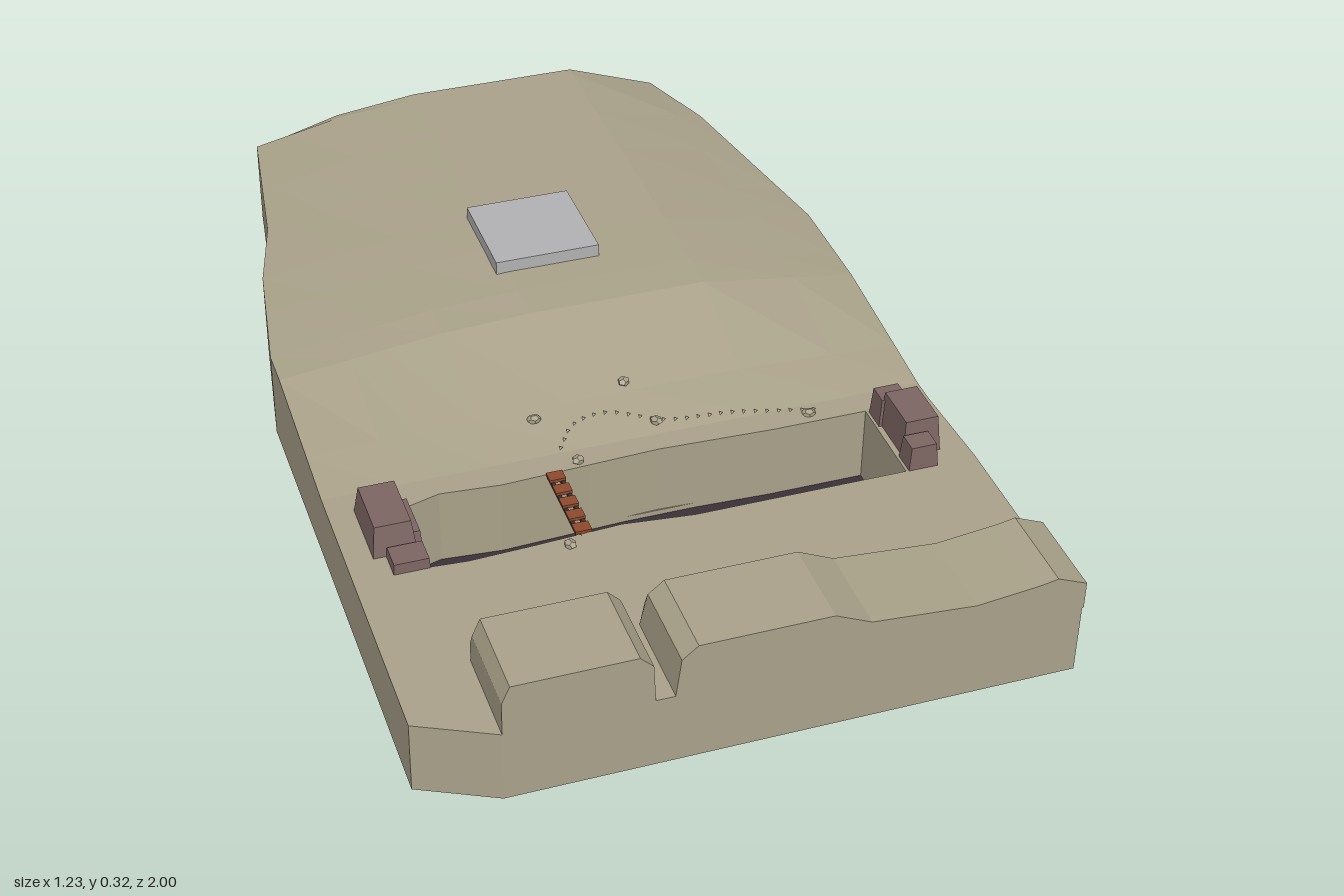
import * as THREE from 'three';

const mat = (color) => new THREE.MeshStandardMaterial({ color, flatShading: true });
const EARTH = mat(0xaaa28a), DARK = mat(0x3b3038), BLOCK = mat(0x7c6663), RUST = mat(0x8f4a2e), PLATE = mat(0xb2b2b4);

function add(parent, name, geometry, material, x = 0, y = 0, z = 0) {
  const m = new THREE.Mesh(geometry, material);
  m.name = name;
  m.position.set(x, y, z);
  parent.add(m);
  return m;
}

// piecewise linear lookup in [key, value] pairs
function lookup(table, k) {
  for (let i = 1; i < table.length; i++) {
    const [a, va] = table[i - 1], [b, vb] = table[i];
    if (k <= b) return va + (vb - va) * Math.max(0, (k - a) / (b - a));
  }
  return table[table.length - 1][1];
}

const LEFT = [[-1, -0.28], [-0.94, -0.47], [-0.6, -0.52], [-0.42, -0.57], [-0.14, -0.615], [0.93, -0.615], [1, -0.47]];
const RIGHT = [[-1, 0.27], [-0.94, 0.46], [-0.76, 0.52], [-0.3, 0.6], [0.45, 0.6], [0.54, 0.61], [1, 0.61]];
const CREST = [[-1, 0.235], [-0.96, 0.293], [-0.2, 0.293], [-0.06, 0.285], [0.17, 0.225], [0.29, 0.2], [1, 0.2]];
const EDGE = [[-1, 0.235], [-0.05, 0.235], [0.29, 0.2], [1, 0.2]];

// ground height: a broad crest that falls away to both sides
function height(x, z) {
  const l = lookup(LEFT, z), r = lookup(RIGHT, z);
  let t = 0;
  if (x < -0.2) t = (x + 0.2) / (l + 0.2);
  if (x > 0.27) t = (x - 0.27) / Math.max(r - 0.27, 1e-4);
  return THREE.MathUtils.lerp(lookup(CREST, z), lookup(EDGE, z), Math.min(t, 1));
}

function groundGeometry() {
  const cols = [-0.47, -0.4, -0.28, -0.1, 0.04, 0.27, 0.465];
  const rows = [-1, -0.96, -0.94, -0.76, -0.6, -0.42, -0.3, -0.14, -0.06, 0.17, 0.29, 0.345, 0.54, 0.8, 0.93, 1];
  const north = [0.36, 0.34, 0.35, 0.342, 0.336, 0.345, 0.345];
  const south = [0.54, 0.545, 0.54, 0.53, 0.545, 0.545, 0.545];
  const hole = rows.indexOf(0.345), last = cols.length;
  const grid = rows.map((z, r) => {
    const l = lookup(LEFT, z), rt = lookup(RIGHT, z);
    return [l, ...cols, rt].map((cx, c) => {
      const x = THREE.MathUtils.clamp(cx, l, rt);
      const inner = c > 0 && c <= last;
      const pz = inner && r === hole ? north[c - 1] : inner && r === hole + 1 ? south[c - 1] : z;
      return [x, height(x, z), pz];
    });
  });

  const pos = [];
  const tri = (...p) => p.forEach((q) => pos.push(...q));
  const quad = (a, b, c, d) => { tri(a, b, c); tri(a, c, d); };
  const low = (p, y) => [p[0], y, p[2]];

  // top surface with the trench left open
  for (let r = 0; r < rows.length - 1; r++) {
    for (let c = 0; c <= last; c++) {
      if (r === hole && c > 0 && c < last) continue;
      quad(grid[r][c], grid[r + 1][c], grid[r + 1][c + 1], grid[r][c + 1]);
    }
  }
  // outer walls and underside
  const rim = [...grid[0], ...grid.slice(1).map((g) => g[last + 1]),
    ...grid[rows.length - 1].slice(0, -1).reverse(), ...grid.slice(1, -1).reverse().map((g) => g[0])];
  rim.forEach((p, i) => {
    const q = rim[(i + 1) % rim.length];
    quad(p, q, low(q, 0.05), low(p, 0.05));
    tri([0, 0.05, 0], low(p, 0.05), low(q, 0.05));
  });
  // trench walls
  const trench = [...grid[hole].slice(1, last + 1).reverse(), ...grid[hole + 1].slice(1, last + 1)];
  trench.forEach((p, i) => {
    const q = trench[(i + 1) % trench.length];
    quad(p, q, low(q, 0.04), low(p, 0.04));
  });

  const g = new THREE.BufferGeometry();
  g.setAttribute('position', new THREE.Float32BufferAttribute(pos, 3));
  g.computeVertexNormals();
  return g;
}

// bank along the front edge, bevelled towards the trench
function bankGeometry(profile) {
  const shape = new THREE.Shape(profile.map(([x, y]) => new THREE.Vector2(x, y)));
  const g = new THREE.ExtrudeGeometry(shape, { depth: 1, steps: 2, bevelEnabled: false });
  const p = g.attributes.position;
  for (let i = 0; i < p.count; i++) {
    const z = p.getZ(i);
    if (z < 0.25) p.setY(i, Math.min(p.getY(i), Math.max(0.195, p.getY(i) - 0.03)));
    p.setZ(i, z < 0.25 ? 0.805 : z < 0.75 ? 0.82 : 1);
  }
  g.computeVertexNormals();
  return g;
}

// box whose top is narrower than its base
function taperedBox(w, h, d, k) {
  const g = new THREE.BoxGeometry(w, h, d).translate(0, h / 2, 0);
  const p = g.attributes.position;
  for (let i = 0; i < p.count; i++) {
    if (p.getY(i) > h / 2) p.setXYZ(i, p.getX(i) * k, h, p.getZ(i) * k);
  }
  g.computeVertexNormals();
  return g;
}

export function createModel() {
  const model = new THREE.Group();
  model.name = 'trenchTerrain';
  add(model, 'ground', groundGeometry(), EARTH);

  // banks
  add(model, 'rightBank', bankGeometry([[-0.47, 0.195], [-0.195, 0.195], [-0.2, 0.28], [-0.225, 0.305],
    [-0.455, 0.305], [-0.47, 0.27]]), EARTH);
  add(model, 'leftBank', bankGeometry([[-0.16, 0.195], [0.613, 0.195], [0.613, 0.252], [0.555, 0.277], [0.52, 0.27],
    [0.4, 0.256], [0.2, 0.272], [0.13, 0.305], [-0.12, 0.305], [-0.15, 0.28]]), EARTH);

  // trench floor and the collar around it
  add(model, 'trenchFloor', new THREE.BoxGeometry(1.1, 0.04, 0.23), DARK, 0.03, 0.02, 0.44);
  for (const [x, z, w, d] of [[0.04, 0.332, 1.12, 0.014], [0.04, 0.55, 1.12, 0.01], [-0.497, 0.44, 0.046, 0.23], [0.533, 0.44, 0.134, 0.23]]) {
    add(model, 'trenchCollar', new THREE.BoxGeometry(w, 0.012, d), EARTH, x, 0.045, z);
  }

  // blocks at both trench ends: x, z, width, height, depth, taper
  const blocks = [
    [-0.522, 0.413, 0.085, 0.062, 0.15, 0.82], [-0.505, 0.515, 0.07, 0.022, 0.055, 0.95],
    [-0.49, 0.42, 0.045, 0.03, 0.11, 0.9],
    [0.515, 0.443, 0.078, 0.075, 0.12, 0.85], [0.5, 0.375, 0.06, 0.06, 0.05, 0.85],
    [0.5, 0.522, 0.06, 0.05, 0.05, 0.85],
  ];
  for (const [x, z, w, h, d, k] of blocks) {
    add(model, 'endBlock', taperedBox(w, h + 0.005, d, k), BLOCK, x, 0.195, z);
  }

  // slatted footbridge
  const bridge = new THREE.Group();
  bridge.name = 'footbridge';
  model.add(bridge);
  for (const x of [-0.185, -0.165]) {
    add(bridge, 'bridgeRail', new THREE.BoxGeometry(0.008, 0.008, 0.2), DARK, x, 0.196, 0.44);
  }
  for (let i = 0; i < 5; i++) {
    add(bridge, 'bridgeSlat', new THREE.BoxGeometry(0.032, 0.007, 0.026), RUST, -0.175, 0.202, 0.36 + i * 0.04);
  }

  add(model, 'hatchPlate', new THREE.BoxGeometry(0.22, 0.03, 0.22), PLATE, -0.015, 0.303, -0.318);

  // stones and a winding trail of pebbles
  const stones = [[-0.17, 0.2], [0.03, 0.15], [0.06, 0.26], [0.355, 0.32], [-0.12, 0.325], [-0.21, 0.56]];
  stones.forEach(([x, z], i) => {
    const s = add(model, 'stone', new THREE.DodecahedronGeometry(0.012), EARTH, x, height(x, z) + 0.004, z);
    s.scale.set(1.2, 0.7, 1);
    s.rotation.y = i;
  });
  const trail = new THREE.CatmullRomCurve3([[-0.14, 0.28], [-0.1, 0.23], [-0.03, 0.215], [0.08, 0.26], [0.22, 0.275], [0.37, 0.31]]
    .map(([x, z]) => new THREE.Vector3(x, 0, z)));
  for (const p of trail.getSpacedPoints(24)) {
    add(model, 'pebble', new THREE.TetrahedronGeometry(0.005), EARTH, p.x, height(p.x, p.z) + 0.002, p.z);
  }
  return model;
}
